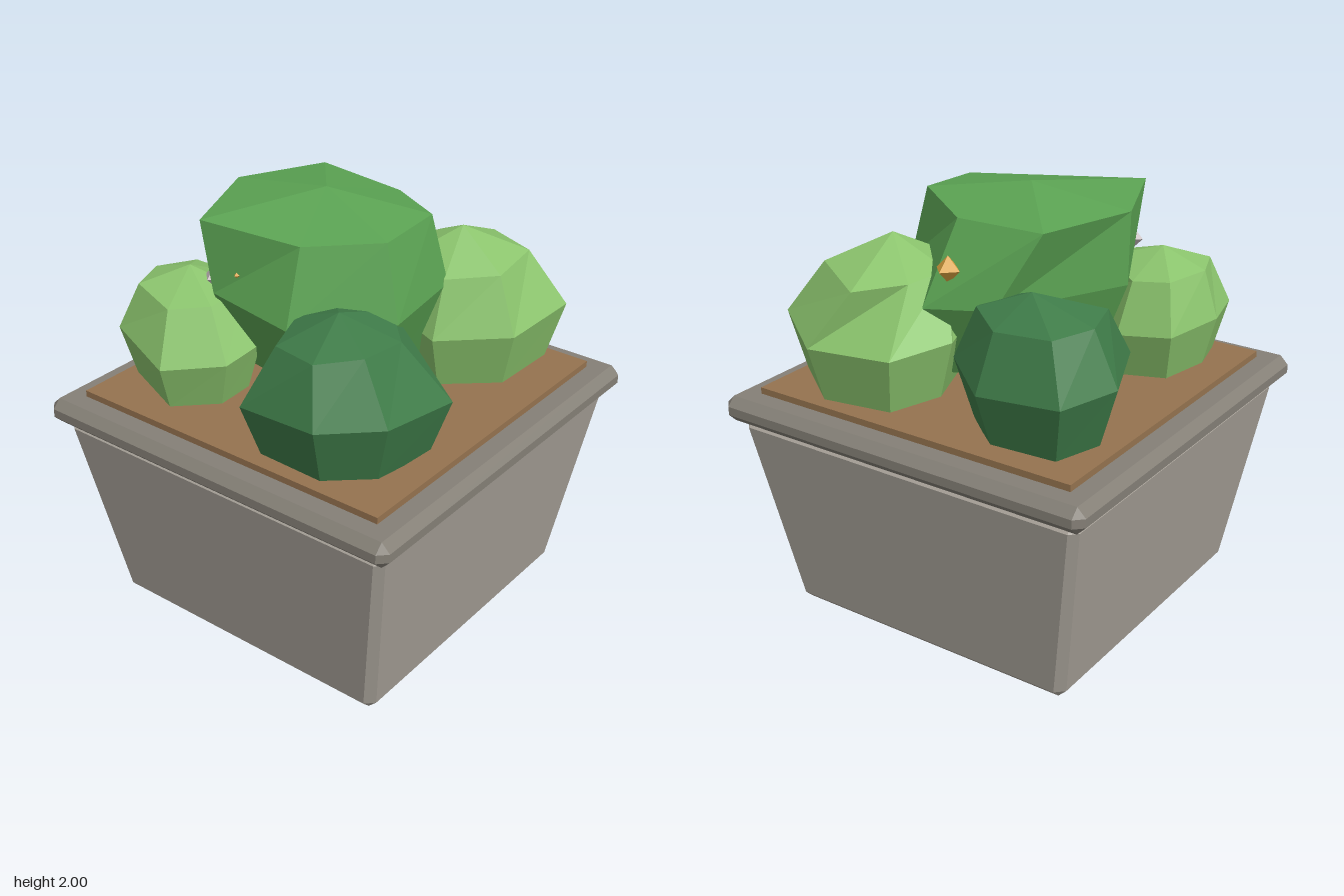
import * as THREE from 'three';

const paint = (name, color) => Object.assign(new THREE.MeshStandardMaterial({ color, flatShading: true }), { name });

// Faceted solid through closed rings of points, listed from bottom to top.
// Each ring runs back, +x, front, -x; a ring may collapse to a single point.
function loft(rings) {
  const pos = [];
  const tri = (a, b, c) => {
    const n = b.clone().sub(a).cross(c.clone().sub(a));
    if (n.length() > 1e-7) for (const p of [a, b, c]) pos.push(p.x, p.y, p.z);
  };
  for (let r = 0; r < rings.length - 1; r++) {
    const lo = rings[r], hi = rings[r + 1], n = lo.length;
    for (let i = 0; i < n; i++) {
      const j = (i + 1) % n;
      tri(lo[j], lo[i], hi[i]);
      tri(lo[j], hi[i], hi[j]);
    }
  }
  const geo = new THREE.BufferGeometry();
  geo.setAttribute('position', new THREE.Float32BufferAttribute(pos, 3));
  geo.computeVertexNormals();
  return geo;
}

// Square ring with cut corners: height, half width, corner cut
function squareRing(y, h, cut) {
  const k = h - cut;
  return [[-k, -h], [k, -h], [h, -k], [h, k], [k, h], [-k, h], [-h, k], [-h, -k]]
    .map(([x, z]) => new THREE.Vector3(x, y, z));
}

// Chamfered square block from [y, half width, cut] levels, closed at both ends
function block(levels) {
  const pole = y => Array.from({ length: 8 }, () => new THREE.Vector3(0, y, 0));
  return loft([pole(levels[0][0]), ...levels.map(l => squareRing(...l)), pole(levels.at(-1)[0])]);
}

// Leaf clump: apex and bottom points, crown and belly outlines seen from above,
// and a lower ring drawn in from the belly
function bushGeometry({ apex, base, crown, belly, crownY, bellyY, lowY, tuck }) {
  const ring = (pts, y, wobble) => pts.map(([x, z], i) =>
    new THREE.Vector3(x, y + wobble * Math.sin(i * 2.1 + 1), z));
  const cx = belly.reduce((s, p) => s + p[0], 0) / belly.length;
  const cz = belly.reduce((s, p) => s + p[1], 0) / belly.length;
  const low = belly.map(([x, z]) => [cx + (x - cx) * tuck, cz + (z - cz) * tuck]);
  const pole = (x, y, z) => belly.map(() => new THREE.Vector3(x, y, z));
  return loft([
    pole(cx, base, cz), ring(low, lowY, 0.02), ring(belly, bellyY, 0.03),
    ring(crown, crownY, 0.02), pole(...apex),
  ]);
}

export function createModel() {
  const model = new THREE.Group();
  const stone = paint('pot stone', 0xa8a299);
  const rimStone = paint('rim stone', 0x858077);
  const earth = paint('soil brown', 0x95734f);
  const midGreen = paint('mid green', 0x5ba353);
  const darkGreen = paint('dark green', 0x3f7c49);
  const lightGreen = paint('light green', 0x8bc46d);
  const gold = paint('gold', 0xd9a23f);
  const pale = paint('pale petal', 0xc4babc);

  const add = (name, geo, mat, x = 0, y = 0, z = 0) => {
    const mesh = new THREE.Mesh(geo, mat);
    mesh.name = name;
    mesh.position.set(x, y, z);
    model.add(mesh);
    return mesh;
  };

  // Planter
  add('pot', block([[0, 0.7, 0], [0.04, 0.74, 0.04], [0.92, 0.88, 0.035], [0.955, 0.845, 0]]), stone);
  add('rim', block([[0.95, 0.9, 0], [0.99, 0.94, 0.04], [1.03, 0.94, 0.04], [1.07, 0.9, 0]]), rimStone);
  add('soil', new THREE.BoxGeometry(1.63, 0.06, 1.63), earth, 0, 1.07, 0);

  // Leaf clumps
  add('centreBush', bushGeometry({
    apex: [0, 2, -0.08], base: 1.14, crownY: 1.92, bellyY: 1.59, lowY: 1.25, tuck: 0.76,
    crown: [[-0.03, -0.56], [0.39, -0.4], [0.36, 0.05], [0.15, 0.37], [-0.18, 0.38], [-0.4, 0.1], [-0.5, -0.36]],
    belly: [[-0.02, -0.56], [0.51, -0.24], [0.59, 0.07], [0.2, 0.43], [-0.22, 0.47], [-0.51, 0.11], [-0.5, -0.3]],
  }), midGreen);
  add('frontLeftBush', bushGeometry({
    apex: [0.41, 1.8, 0.36], base: 1.03, crownY: 1.66, bellyY: 1.41, lowY: 1.15, tuck: 0.82,
    crown: [[0.4, 0.08], [0.6, 0.13], [0.77, 0.3], [0.6, 0.59], [0.32, 0.62], [0.17, 0.43], [0.2, 0.2]],
    belly: [[0.57, -0.07], [0.84, 0.05], [0.87, 0.47], [0.67, 0.76], [0.28, 0.73], [0.08, 0.44], [0.18, 0.08]],
  }), lightGreen);
  add('frontRightBush', bushGeometry({
    apex: [-0.45, 1.7, 0.34], base: 1.0, crownY: 1.6, bellyY: 1.36, lowY: 1.1, tuck: 0.8,
    crown: [[-0.26, 0.17], [-0.14, 0.38], [-0.32, 0.56], [-0.58, 0.57], [-0.72, 0.42], [-0.66, 0.18], [-0.45, 0.12]],
    belly: [[-0.18, 0.07], [-0.07, 0.46], [-0.23, 0.76], [-0.65, 0.74], [-0.82, 0.5], [-0.8, 0.1], [-0.47, 0.01]],
  }), darkGreen);
  add('backLeftBush', bushGeometry({
    apex: [0.47, 1.7, -0.4], base: 1.0, crownY: 1.6, bellyY: 1.36, lowY: 1.1, tuck: 0.78,
    crown: [[0.49, -0.71], [0.66, -0.62], [0.67, -0.35], [0.55, -0.18], [0.34, -0.18], [0.22, -0.4], [0.27, -0.64]],
    belly: [[0.5, -0.83], [0.75, -0.72], [0.77, -0.33], [0.59, -0.09], [0.25, -0.12], [0.09, -0.4], [0.13, -0.67]],
  }), darkGreen);
  add('backRightBush', bushGeometry({
    apex: [-0.43, 1.67, -0.5], base: 1.04, crownY: 1.58, bellyY: 1.36, lowY: 1.14, tuck: 0.8,
    crown: [[-0.42, -0.72], [-0.23, -0.65], [-0.2, -0.48], [-0.36, -0.26], [-0.55, -0.27], [-0.66, -0.42], [-0.6, -0.65]],
    belly: [[-0.42, -0.79], [-0.15, -0.71], [-0.11, -0.46], [-0.4, -0.13], [-0.61, -0.14], [-0.78, -0.37], [-0.66, -0.73]],
  }), lightGreen);

  // Small blossoms
  const blossom = new THREE.OctahedronGeometry(0.06);
  add('leftBlossom', blossom, gold, 0.51, 1.73, -0.01);
  add('rightBlossom', blossom, gold, -0.43, 1.72, -0.19).scale.setScalar(0.9);
  add('paleBlossom', blossom, pale, -0.45, 1.67, -0.33).scale.setScalar(0.9);

  return model;
}
